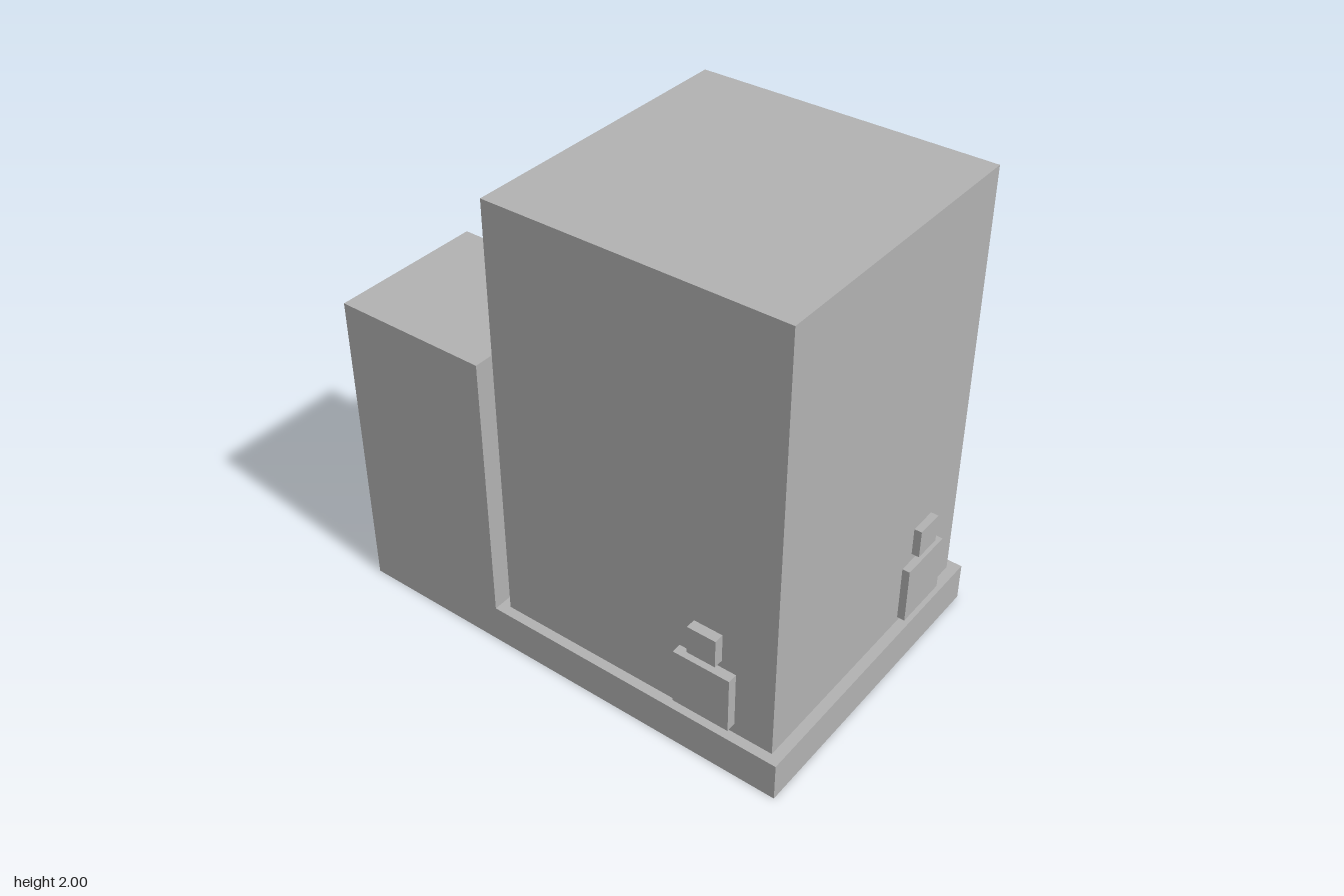
import * as THREE from 'three';

export function createModel() {
  const group = new THREE.Group();
  const grey = new THREE.MeshStandardMaterial({ color: 0xb2b2b2 });
  grey.name = 'plain grey';

  // Box given by its extents along each axis
  function block(name, [x0, x1], [y0, y1], [z0, z1]) {
    const mesh = new THREE.Mesh(new THREE.BoxGeometry(x1 - x0, y1 - y0, z1 - z0), grey);
    mesh.position.set((x0 + x1) / 2, (y0 + y1) / 2, (z0 + z1) / 2);
    mesh.name = name;
    group.add(mesh);
  }

  const floor = 0.167, edge = 0.667, wing = [-1, -0.333];

  // Base slab and main block
  block('base', [-1, 1], [0, floor], [-edge, edge]);
  block('mainBlock', [-0.293, 0.955], [floor, 2], [-0.625, 0.625]);

  // Lower tower at the front corner, flush with the base
  block('sideTower', wing, [floor, 1.333], [0, edge]);

  // Raised tank on two legs at the back corner
  block('raisedTank', wing, [0.667, 1.333], [-edge, -0.333]);
  for (const x of [-0.875, -0.458]) {
    block('tankLeg', [x - 0.042, x + 0.042], [floor, 0.667], [-0.583, -0.417]);
  }

  // Large and small panels on the front and on the right-hand side
  for (const [size, half, y] of [['large', 0.124, [0.212, 0.46]], ['small', 0.062, [0.494, 0.617]]]) {
    block(size + 'FrontPanel', [0.665 - half, 0.665 + half], y, [0.625, edge]);
    block(size + 'SidePanel', [0.968, 1], y, [-0.333 - half, -0.333 + half]);
  }

  return group;
}
